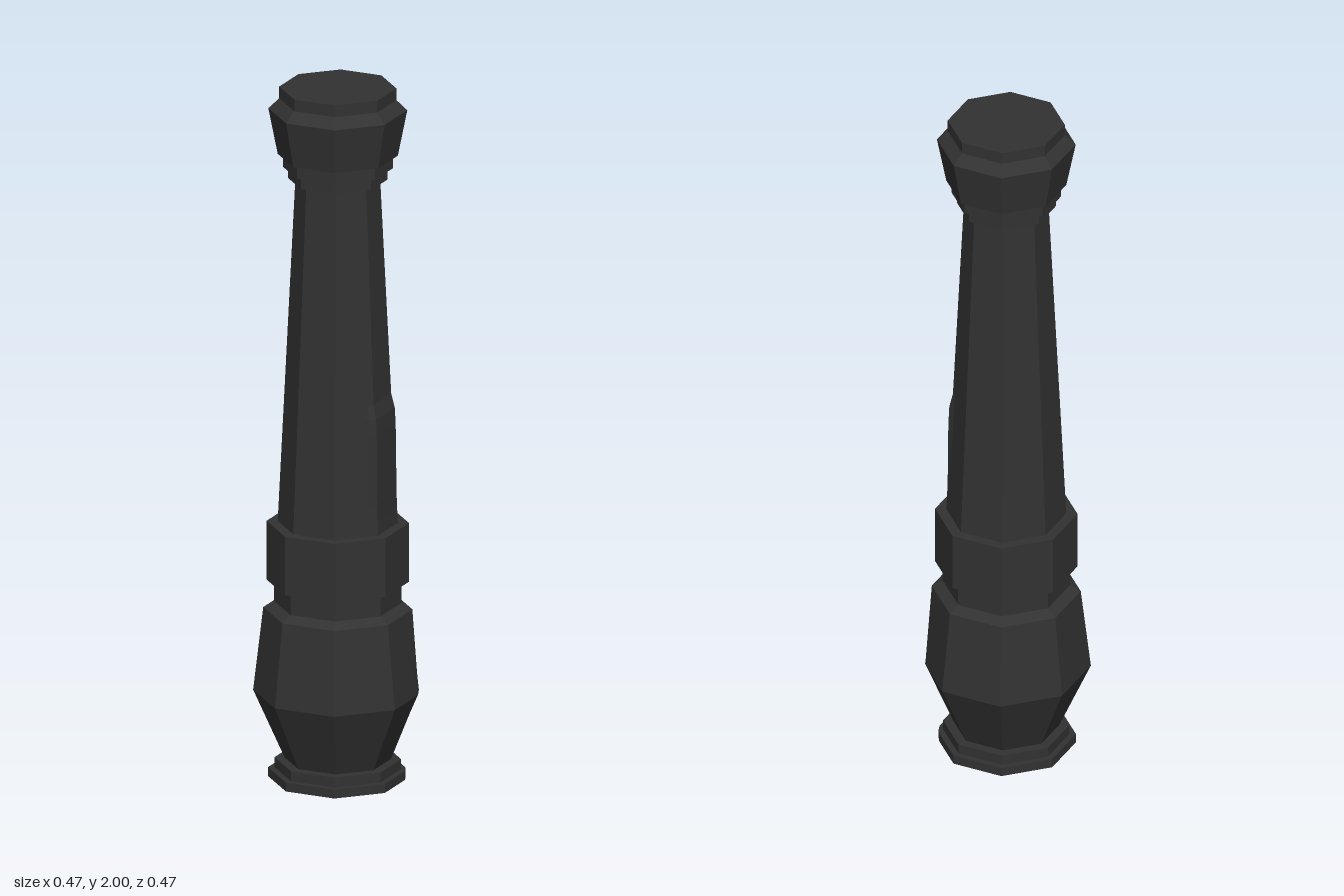
import * as THREE from 'three';

const stone = new THREE.MeshStandardMaterial({ color: 0x323232, flatShading: true });
stone.name = 'darkStone';

// Direction of the worn corner
const WORN = new THREE.Vector2(1, -1).normalize();

// Eight-sided drum from y0 to y1 with corners on the axes
function drum(name, y0, r0, y1, r1) {
  const geo = new THREE.CylinderGeometry(r1, r0, y1 - y0, 8);
  geo.translate(0, (y0 + y1) / 2, 0);
  const mesh = new THREE.Mesh(geo, stone);
  mesh.name = name;
  return mesh;
}

// Finely divided octagonal drum whose side points can be moved by a rule
function wornDrum(name, y0, r0, y1, r1, rows, rule) {
  const geo = new THREE.CylinderGeometry(r1, r0, y1 - y0, 64, rows);
  geo.translate(0, (y0 + y1) / 2, 0);
  const pos = geo.attributes.position;
  const step = Math.PI / 4;
  for (let i = 0; i < pos.count; i++) {
    const x = pos.getX(i), y = pos.getY(i), z = pos.getZ(i);
    const r = Math.hypot(x, z);
    if (r < 1e-6) continue;
    const a = Math.atan2(x, z) + Math.PI * 2;
    const k = Math.cos(step / 2) / Math.cos((a % step) - step / 2);
    const p = new THREE.Vector2(x * k, z * k);
    rule(p, y);
    pos.setXYZ(i, p.x, y, p.y);
  }
  geo.computeVertexNormals();
  const mesh = new THREE.Mesh(geo, stone);
  mesh.name = name;
  return mesh;
}

// Shave the worn corner back to a given distance from the axis
const shave = (limit) => (p) => {
  const over = p.dot(WORN) - limit;
  if (over > 0) p.addScaledVector(WORN, -over);
};

// Slight swelling that ends in a broken edge on one side of the shaft
function swell(p, y) {
  const a = THREE.MathUtils.radToDeg(Math.atan2(p.x, p.y));
  if (a < 80 || a > 140 || y > 1.1) return;
  const amount = 0.008 * THREE.MathUtils.smoothstep(y, 0.78, 1.05);
  p.setLength(p.length() + amount);
}

export function createModel() {
  const group = new THREE.Group();
  group.name = 'column';

  // Foot and swelling base
  group.add(wornDrum('footPlate', 0, 0.193, 0.026, 0.193, 1, shave(0.187)));
  group.add(drum('footStep', 0.026, 0.175, 0.055, 0.175));
  group.add(wornDrum('lowerBulge', 0.055, 0.147, 0.25, 0.234, 1, shave(0.223)));
  group.add(wornDrum('upperBulge', 0.25, 0.234, 0.49, 0.206, 1, shave(0.223)));
  group.add(drum('bulgeRim', 0.49, 0.206, 0.508, 0.178));

  // Neck and broad band
  group.add(drum('neck', 0.505, 0.176, 0.57, 0.176));
  group.add(drum('band', 0.57, 0.197, 0.74, 0.197));

  // Tapering shaft
  group.add(wornDrum('shaft', 0.74, 0.166, 1.74, 0.117, 24, swell));

  // Stepped capital
  group.add(drum('lowerCollar', 1.735, 0.137, 1.768, 0.137));
  group.add(drum('upperCollar', 1.768, 0.152, 1.805, 0.152));
  group.add(drum('capital', 1.805, 0.166, 1.937, 0.192));
  group.add(drum('capitalBevel', 1.937, 0.192, 1.966, 0.162));
  group.add(drum('topPlate', 1.966, 0.162, 2, 0.162));

  return group;
}
